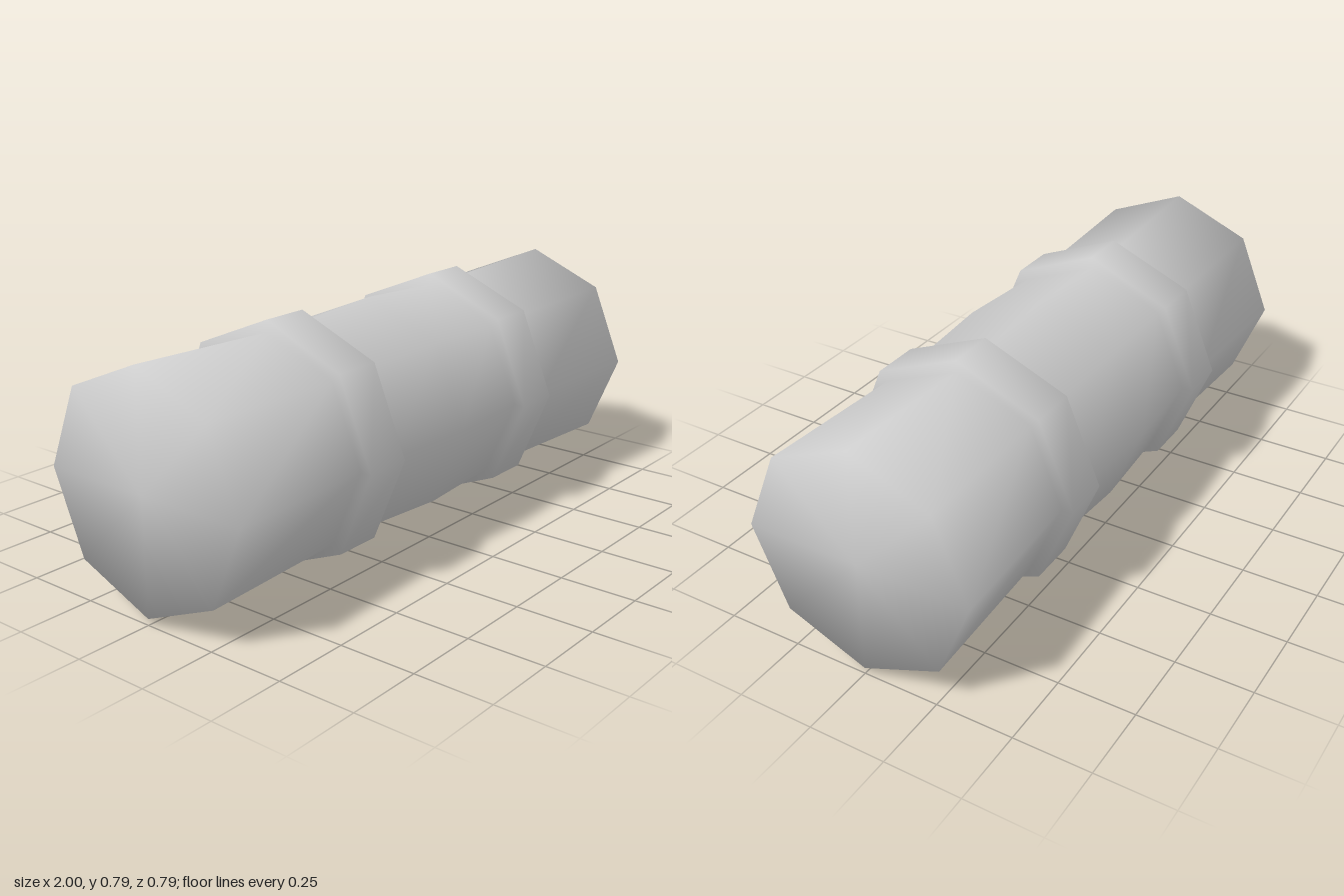
import * as THREE from 'three';

export function createModel() {
  const group = new THREE.Group();
  group.name = 'barrel';
  const material = new THREE.MeshStandardMaterial({ color: 0xcccccc });

  const sides = 8;
  const hoopRadius = 0.394;

  // Half profile as [radius, distance from the middle]: belly, hoop, flared end, cap
  const half = [
    [0.374, 0],
    [0.356, 0.325], [hoopRadius, 0.325],
    [hoopRadius, 0.485], [0.356, 0.485],
    [0.374, 1], [0, 1],
  ];
  const profile = [
    ...half.slice(1).reverse().map(([r, d]) => new THREE.Vector2(r, -d)),
    ...half.map(([r, d]) => new THREE.Vector2(r, d)),
  ];

  // Smooth eight-sided body with both hoops, laid along x with a corner on the ground
  const body = new THREE.LatheGeometry(profile, sides);
  body.rotateZ(Math.PI / 2);
  body.translate(0, hoopRadius, 0);

  const mesh = new THREE.Mesh(body, material);
  mesh.name = 'hoopedBody';
  group.add(mesh);
  return group;
}
